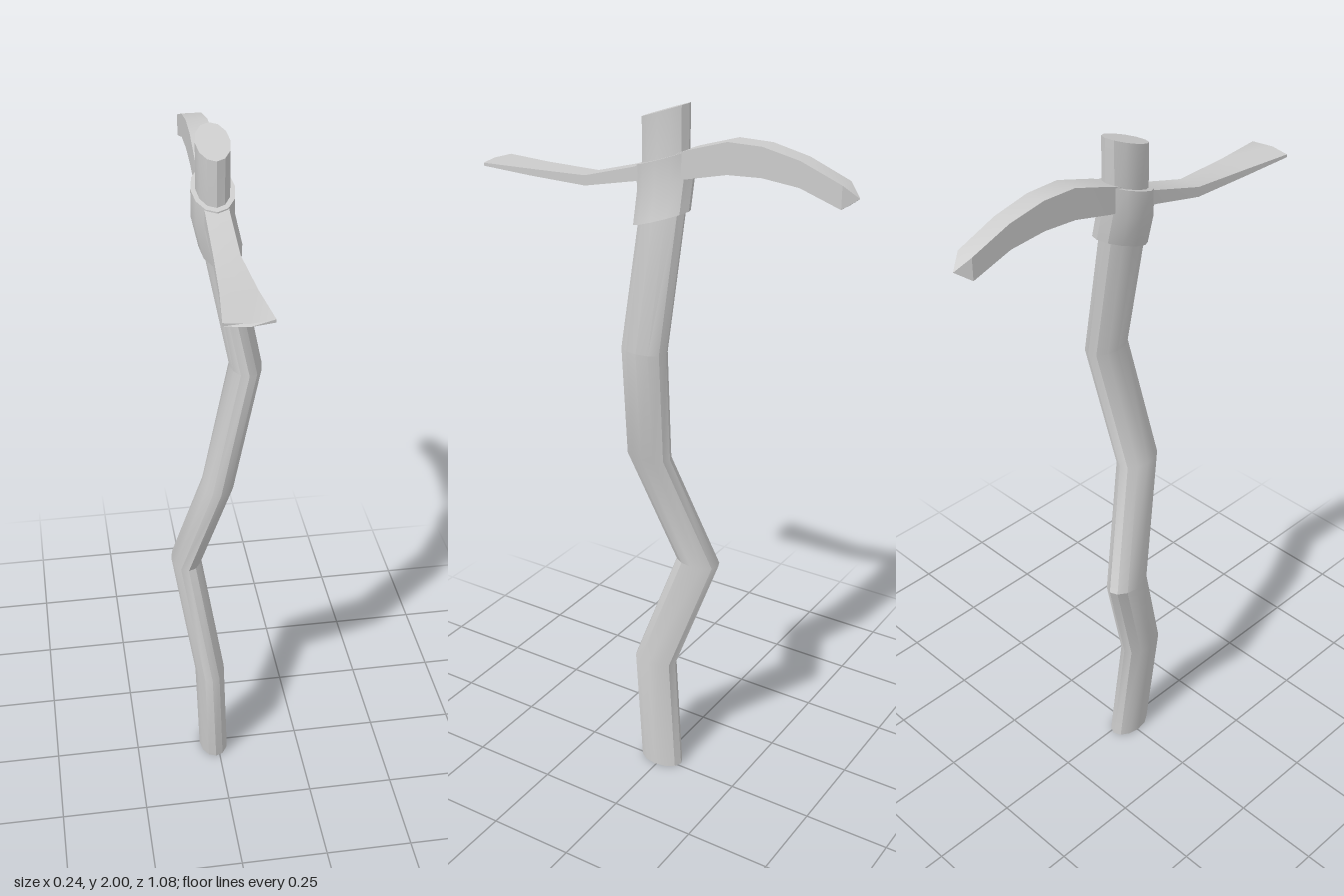
import * as THREE from 'three';
import { toCreasedNormals } from 'three/addons/utils/BufferGeometryUtils.js';

const material = new THREE.MeshStandardMaterial({ color: 0xcccccc });
const SIDES = 12;
const TILT = 0.34; // the head end is cut on a slope, higher at the back

// Skin a list of equal-sized point rings and close both ends
function loft(rings, crease) {
  const n = rings[0].length;
  const positions = rings.flat(2);
  const index = [];
  for (let k = 0; k < rings.length - 1; k++) {
    for (let i = 0; i < n; i++) {
      const j = (i + 1) % n;
      const a = k * n + i, b = k * n + j, c = a + n, d = b + n;
      index.push(a, b, d, a, d, c);
    }
  }
  const last = (rings.length - 1) * n;
  for (let i = 1; i < n - 1; i++) {
    index.push(0, i + 1, i);
    index.push(last, last + i, last + i + 1);
  }
  const geometry = new THREE.BufferGeometry();
  geometry.setAttribute('position', new THREE.Float32BufferAttribute(positions, 3));
  geometry.setIndex(index);
  return toCreasedNormals(geometry, crease);
}

// Oval ring around the shaft axis
function oval(x, y, z, rx, rz, tilt = 0) {
  return Array.from({ length: SIDES }, (_, i) => {
    const a = (i / SIDES) * Math.PI * 2;
    const dz = -Math.sin(a) * rz;
    return [x + Math.cos(a) * rx, y - tilt * dz, z + dz];
  });
}

// Flat six-point section of the head; bow pushes the middle outwards
function section(z, top, bottom, w, bow = 0) {
  const x = -0.009;
  return [
    [x + w, top, z], [x + w, bottom, z], [x, bottom, z + bow],
    [x - w, bottom, z], [x - w, top, z], [x, top, z + bow],
  ];
}

export function createModel() {
  const group = new THREE.Group();
  const add = (name, geometry) => {
    const mesh = new THREE.Mesh(geometry, material);
    mesh.name = name;
    group.add(mesh);
  };

  // Crooked wooden handle: x, y, z of each bend, then slope
  const bends = [
    [-0.012, 0, 0.004, 0],
    [-0.027, 0.345, 0.036, 0],
    [-0.08, 0.685, -0.074, 0],
    [-0.004, 1.025, 0.042, 0],
    [0.075, 1.37, 0.005, 0],
    [-0.009, 1.79, -0.008, TILT],
    [-0.009, 1.977, -0.008, TILT],
  ];
  add('handle', loft(bends.map(([x, y, z, t]) => oval(x, y, z, 0.043, 0.067, t)), 0.55));

  // Collar that binds the head to the handle
  const collar = [[0.01, 1.708], [-0.009, 1.79], [-0.009, 1.86]];
  add('collar', loft(collar.map(([x, y]) => oval(x, y, -0.007, 0.055, 0.08, TILT)), 0.55));

  // Head from the flared blade to the pointed pick: z, top, bottom, half width, bow
  const stations = [
    [0.53, 1.785, 1.777, 0.059, 0.012],
    [0.39, 1.785, 1.767, 0.044],
    [0.22, 1.788, 1.761, 0.032],
    [0.07, 1.83, 1.793, 0.03],
    [-0.088, 1.892, 1.82, 0.031],
    [-0.2, 1.926, 1.846, 0.03],
    [-0.294, 1.926, 1.851, 0.028],
    [-0.395, 1.905, 1.841, 0.026],
    [-0.505, 1.862, 1.804, 0.024],
    [-0.54, 1.831, 1.829, 0.001],
  ];
  add('pickHead', loft(stations.map((s) => section(...s)), 0.45));

  return group;
}
